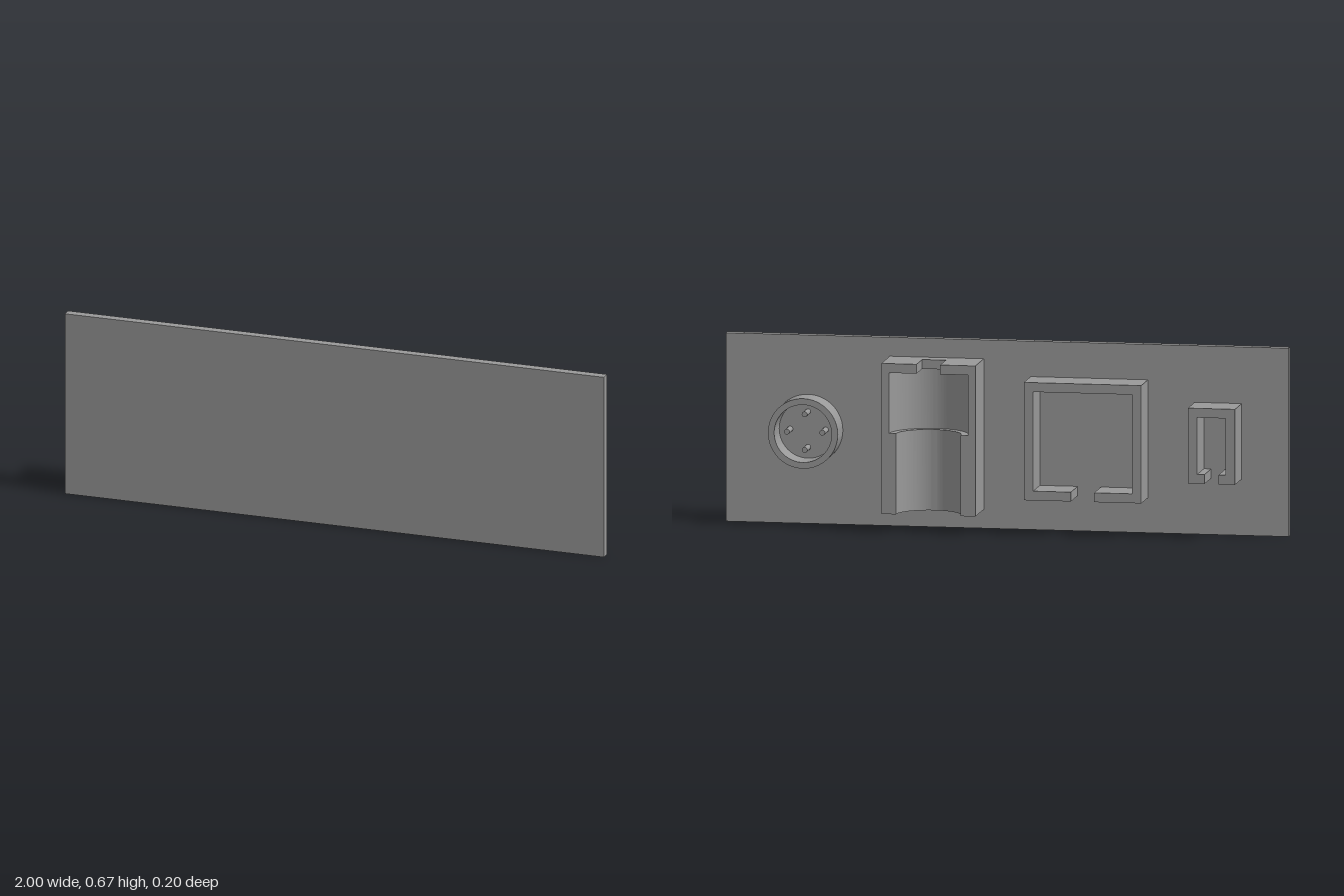
import * as THREE from 'three';
import { toCreasedNormals } from 'three/addons/utils/BufferGeometryUtils.js';

const PLATE_BACK = 0.067;

export function createModel() {
  const group = new THREE.Group();
  const grey = new THREE.MeshStandardMaterial({ color: 0x999999 });
  grey.name = 'plain grey';

  const add = (name, geometry, parent = group) => {
    const mesh = new THREE.Mesh(geometry, grey);
    mesh.name = name;
    parent.add(mesh);
    return mesh;
  };
  const extrude = (shape, depth) => toCreasedNormals(
    new THREE.ExtrudeGeometry(shape, { depth, bevelEnabled: false, curveSegments: 40 }), 0.5);
  const polygon = (points) => new THREE.Shape(points.map(([x, y]) => new THREE.Vector2(x, y)));

  // Flat mounting plate
  add('plate', new THREE.BoxGeometry(2, 0.667, 0.033).translate(0, 0.3335, 0.0835));

  // Rectangular socket frame with a slot in its bottom wall
  const socketFrame = (name, cx, width, height, gap) => {
    const wall = 0.033, depth = 0.134;
    const w = width / 2, h = height / 2, g = gap / 2, iw = w - wall, ih = h - wall;
    const shape = polygon([
      [g, -h], [w, -h], [w, h], [-w, h], [-w, -h], [-g, -h],
      [-g, -ih], [-iw, -ih], [-iw, ih], [iw, ih], [iw, -ih], [g, -ih],
    ]);
    add(name, extrude(shape, depth).translate(cx, 0.333, PLATE_BACK - depth));
  };
  socketFrame('squareSocket', -0.292, 0.417, 0.417, 0.083);
  socketFrame('smallSocket', -0.75, 0.167, 0.267, 0.05);

  // Tall holder: stacked layers, each a block with a channel open to the back
  const holder = new THREE.Group();
  holder.name = 'tallHolder';
  group.add(holder);
  const W = 0.167, BACK = 0.1;
  const layer = (name, shape, y0, y1) =>
    add(name, extrude(shape, y1 - y0).rotateX(-Math.PI / 2).translate(0.25, y0, 0), holder);
  const boredBlock = (radius) => {
    const s = new THREE.Shape();
    s.moveTo(-W, -PLATE_BACK);
    s.lineTo(W, -PLATE_BACK);
    s.lineTo(W, BACK);
    s.lineTo(radius, BACK);
    s.absarc(0, BACK, radius, 0, -Math.PI, true);
    s.lineTo(-W, BACK);
    s.closePath();
    return s;
  };
  layer('narrowBore', boredBlock(0.115), 0.067, 0.353);
  layer('wideBore', boredBlock(0.14), 0.353, 0.567);
  const slot = 0.042, slotEnd = -0.012;
  layer('slottedCap', polygon([
    [-W, -PLATE_BACK], [W, -PLATE_BACK], [W, BACK], [slot, BACK],
    [slot, slotEnd], [-slot, slotEnd], [-slot, BACK], [-W, BACK],
  ]), 0.567, 0.6);

  // Round connector: collar with four pins
  const connector = new THREE.Group();
  connector.name = 'roundConnector';
  connector.position.set(0.708, 0.333, 0);
  group.add(connector);
  const ring = new THREE.Shape().absarc(0, 0, 0.124, 0, Math.PI * 2);
  ring.holes.push(new THREE.Path().absarc(0, 0, 0.102, 0, Math.PI * 2));
  add('collar', extrude(ring, 0.1).translate(0, 0, PLATE_BACK - 0.1), connector);
  for (let i = 0; i < 4; i++) {
    const a = (i * Math.PI) / 2;
    const pin = add('pin', new THREE.CylinderGeometry(0.01, 0.01, 0.067, 20).rotateX(Math.PI / 2), connector);
    pin.position.set(Math.cos(a) * 0.063, Math.sin(a) * 0.063, PLATE_BACK - 0.0335);
  }
  return group;
}
